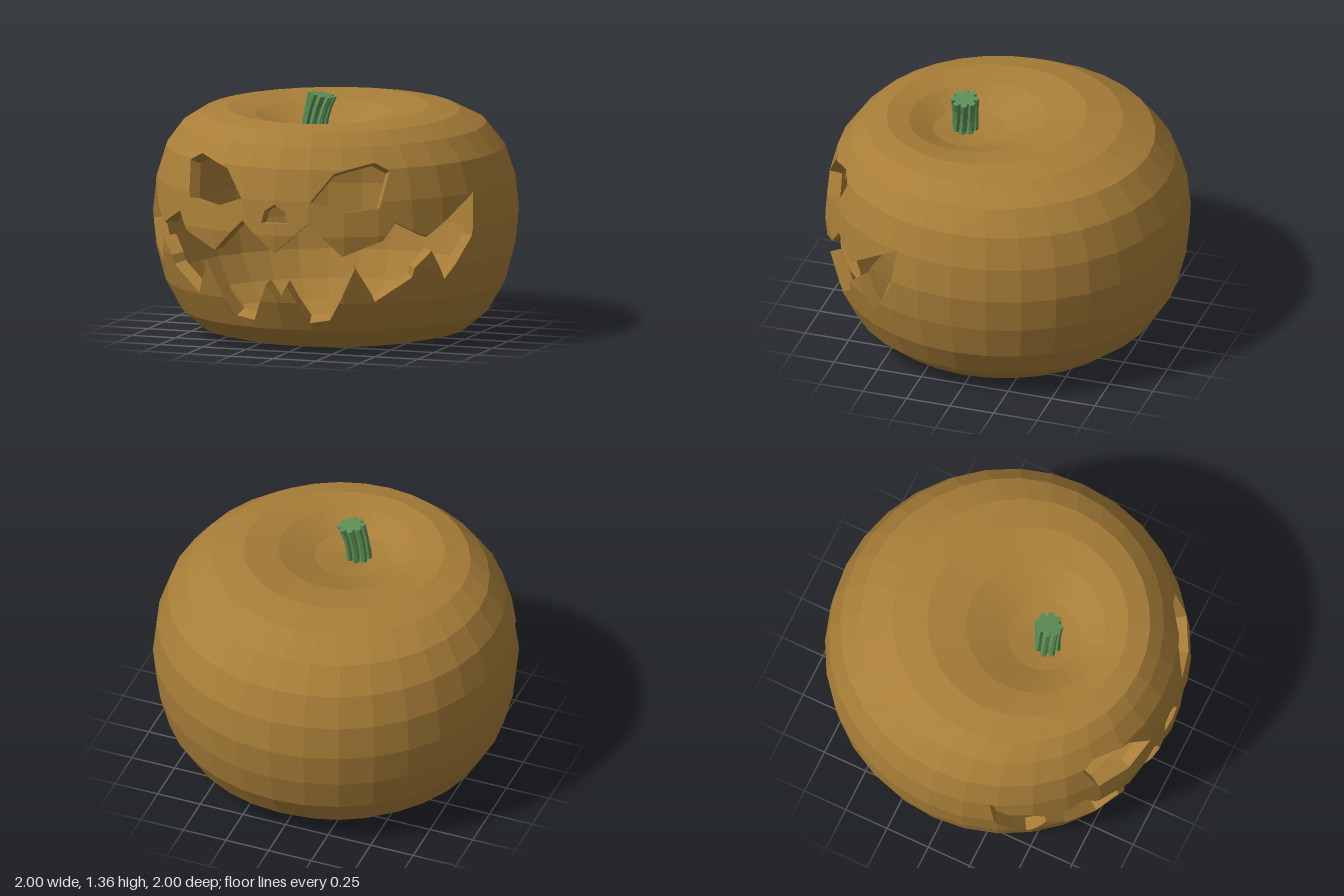
import * as THREE from 'three';

const V = (x, y, z) => new THREE.Vector3(x, y, z);
const CENTRE = V(0, 0.68, 0); // all carving cuts run towards this point
const INNER = 0.93;           // inner wall is the outer wall scaled about the centre
const SEGMENTS = 32;

// Rings from bottom pole to top pole: [radius, height, z of ring centre, forward slope]
const RINGS = [
  [0, 0.09, 0.04, 0], [0.2, 0.07, 0.04, 0], [0.38, 0.03, 0.04, 0],
  [0.57, 0.007, 0.04, 0.01], [0.72, 0.04, 0.02, 0.005], [0.84, 0.14, 0.01, 0],
  [0.93, 0.3, 0, 0], [0.98, 0.49, 0, 0], [1, 0.68, 0, 0], [0.98, 0.87, 0, 0],
  [0.925, 1.04, 0.01, 0], [0.83, 1.165, 0.025, -0.012], [0.705, 1.24, 0.08, -0.022],
  [0.55, 1.268, 0.12, -0.03], [0.38, 1.24, 0.17, -0.03], [0.2, 1.165, 0.22, -0.02],
  [0, 1.13, 0.24, 0],
];

// Carved outlines in x and y; nose and mouth list the +x half only
const EYE = [[0.58, 1.03], [0.5, 1.075], [0.31, 1.02], [0.2, 0.87], [0.37, 0.81], [0.55, 0.835]];
const NOSE = [[0, 0.85], [0.06, 0.81], [0.075, 0.745]];
const MOUTH = [
  [0, 0.58], [0.19, 0.75], [0.37, 0.57], [0.57, 0.655], [0.63, 0.75], [0.76, 0.66], [0.92, 0.875],
  [0.925, 0.64], [0.87, 0.5], [0.815, 0.41], [0.78, 0.58], [0.705, 0.49], [0.69, 0.44],
  [0.51, 0.31], [0.43, 0.5], [0.27, 0.2], [0.16, 0.185], [0.06, 0.4], [0, 0.3],
];
const flip = (pts) => pts.map(([x, y]) => [-x, y]).reverse();
const mirrored = (pts) => [...pts, ...flip(pts).filter(([x]) => x !== 0)];

// Point on the front of the body, relative to the centre
function onFront([x, y]) {
  const i = RINGS.findIndex((r, k) => k > 4 && r[1] >= y);
  const a = RINGS[i - 1], b = RINGS[i];
  const t = (y - a[1]) / (b[1] - a[1]);
  const r = a[0] + (b[0] - a[0]) * t;
  const zc = a[2] + (b[2] - a[2]) * t;
  return V(x, y, zc + Math.sqrt(Math.max(r * r - x * x, 0.01))).sub(CENTRE);
}

// Turn an outline into triangular cutting cones, marking planes on the outline
function cutters(outline) {
  const dirs = outline.map(onFront);
  const flat = dirs.map((d) => new THREE.Vector2(d.x / d.z, d.y / d.z));
  const n = dirs.length;
  return THREE.ShapeUtils.triangulateShape(flat, []).map((tri) =>
    tri.map((a, k) => {
      const b = tri[(k + 1) % 3], c = tri[(k + 2) % 3];
      const normal = dirs[a].clone().cross(dirs[b]).normalize();
      if (normal.dot(dirs[c]) < 0) normal.negate();
      const gap = Math.abs(a - b);
      return { normal, edge: gap === 1 || gap === n - 1 };
    }));
}

// Part of a convex polygon on one side of a plane through the centre
function clip(poly, normal, sign) {
  const out = [];
  poly.forEach((p, i) => {
    const q = poly[(i + 1) % poly.length];
    const dp = normal.dot(p) * sign, dq = normal.dot(q) * sign;
    if (dp >= -1e-9) out.push(p);
    if ((dp > 1e-9 && dq < -1e-9) || (dp < -1e-9 && dq > 1e-9)) out.push(p.clone().lerp(q, dp / (dp - dq)));
  });
  return out;
}

function area(poly) {
  const sum = V(0, 0, 0);
  for (let i = 1; i < poly.length - 1; i++) {
    sum.add(poly[i].clone().sub(poly[0]).cross(poly[i + 1].clone().sub(poly[0])));
  }
  return sum.length();
}
const solid = (poly) => poly.length > 2 && area(poly) > 1e-8;

// Facets of the uncarved body
function bodyFacets() {
  const point = ([r, y, zc, slope], s) => {
    const a = (s / SEGMENTS) * Math.PI * 2;
    const z = r * Math.cos(a);
    return V(r * Math.sin(a), y + slope * z, zc + z).sub(CENTRE);
  };
  const facets = [];
  for (let i = 0; i < RINGS.length - 1; i++) {
    for (let s = 0; s < SEGMENTS; s++) {
      const lo = RINGS[i], hi = RINGS[i + 1];
      const poly = [point(lo, s)];
      if (lo[0] > 0) poly.push(point(lo, s + 1));
      poly.push(point(hi, s + 1));
      if (hi[0] > 0) poly.push(point(hi, s));
      facets.push(poly);
    }
  }
  return facets;
}

// Cut the cones out of the facets; returns remaining facets and wall quads
function carve(facets, cones) {
  const walls = [];
  for (const cone of cones) {
    const kept = [];
    for (const facet of facets) {
      let inside = facet;
      const pieces = [];
      for (const { normal } of cone) {
        const outer = clip(inside, normal, -1);
        if (solid(outer)) pieces.push(outer);
        inside = clip(inside, normal, 1);
        if (!solid(inside)) break;
      }
      if (!solid(inside)) { kept.push(facet); continue; }
      kept.push(...pieces);
      inside.forEach((p, i) => {
        const q = inside[(i + 1) % inside.length];
        const onEdge = cone.some(({ normal, edge }) =>
          edge && Math.abs(normal.dot(p)) < 1e-7 && Math.abs(normal.dot(q)) < 1e-7);
        if (onEdge) walls.push([p, q, q.clone().multiplyScalar(INNER), p.clone().multiplyScalar(INNER)]);
      });
    }
    facets = kept;
  }
  return { facets, walls };
}

function polygonsToMesh(name, polys, material) {
  const pos = [];
  for (const poly of polys) {
    for (let i = 1; i < poly.length - 1; i++) {
      for (const p of [poly[0], poly[i], poly[i + 1]]) pos.push(p.x, p.y, p.z);
    }
  }
  const geo = new THREE.BufferGeometry();
  geo.setAttribute('position', new THREE.Float32BufferAttribute(pos, 3));
  geo.computeVertexNormals();
  const mesh = new THREE.Mesh(geo, material);
  mesh.name = name;
  mesh.position.copy(CENTRE);
  return mesh;
}

// Ribbed stem: a lobed outline extruded, then leaned, twisted and flared
function makeStem(material) {
  const LOBES = 8, pts = [];
  for (let i = 0; i < LOBES; i++) {
    for (const [off, r] of [[-0.3, 0.072], [0, 0.079], [0.3, 0.072], [0.42, 0.052], [0.58, 0.052]]) {
      const a = ((i + off) / LOBES) * Math.PI * 2;
      pts.push(new THREE.Vector2(Math.cos(a) * r, Math.sin(a) * r));
    }
  }
  const H = 0.25;
  const geo = new THREE.ExtrudeGeometry(new THREE.Shape(pts), { depth: H, steps: 4, bevelEnabled: false });
  geo.rotateX(-Math.PI / 2);
  const p = geo.attributes.position;
  for (let i = 0; i < p.count; i++) {
    const t = p.getY(i) / H;
    const v = V(p.getX(i), 0, p.getZ(i));
    v.multiplyScalar(0.9 + 0.35 * (t - 0.55) ** 2 + 0.03 * t).applyAxisAngle(V(0, 1, 0), 0.25 * t);
    p.setXYZ(i, v.x - 0.035 + 0.045 * t * t, 1.1 + t * H - v.x * 0.18 * t, v.z + 0.26 - 0.015 * t);
  }
  geo.computeVertexNormals();
  const mesh = new THREE.Mesh(geo, material);
  mesh.name = 'stem';
  return mesh;
}

export function createModel() {
  const rind = new THREE.MeshStandardMaterial({ color: 0xa87e38 });
  rind.name = 'rind';
  const green = new THREE.MeshStandardMaterial({ color: 0x5c8f56 });
  green.name = 'stemGreen';

  const cones = [EYE, flip(EYE), mirrored(NOSE), mirrored(MOUTH)].flatMap(cutters);
  const { facets, walls } = carve(bodyFacets(), cones);
  const inner = facets.map((f) => f.map((p) => p.clone().multiplyScalar(INNER)).reverse());

  const group = new THREE.Group();
  group.name = 'carvedPumpkin';
  group.add(
    polygonsToMesh('outerRind', facets, rind),
    polygonsToMesh('innerWall', inner, rind),
    polygonsToMesh('carvedEdges', walls, rind),
    makeStem(green),
  );
  return group;
}
